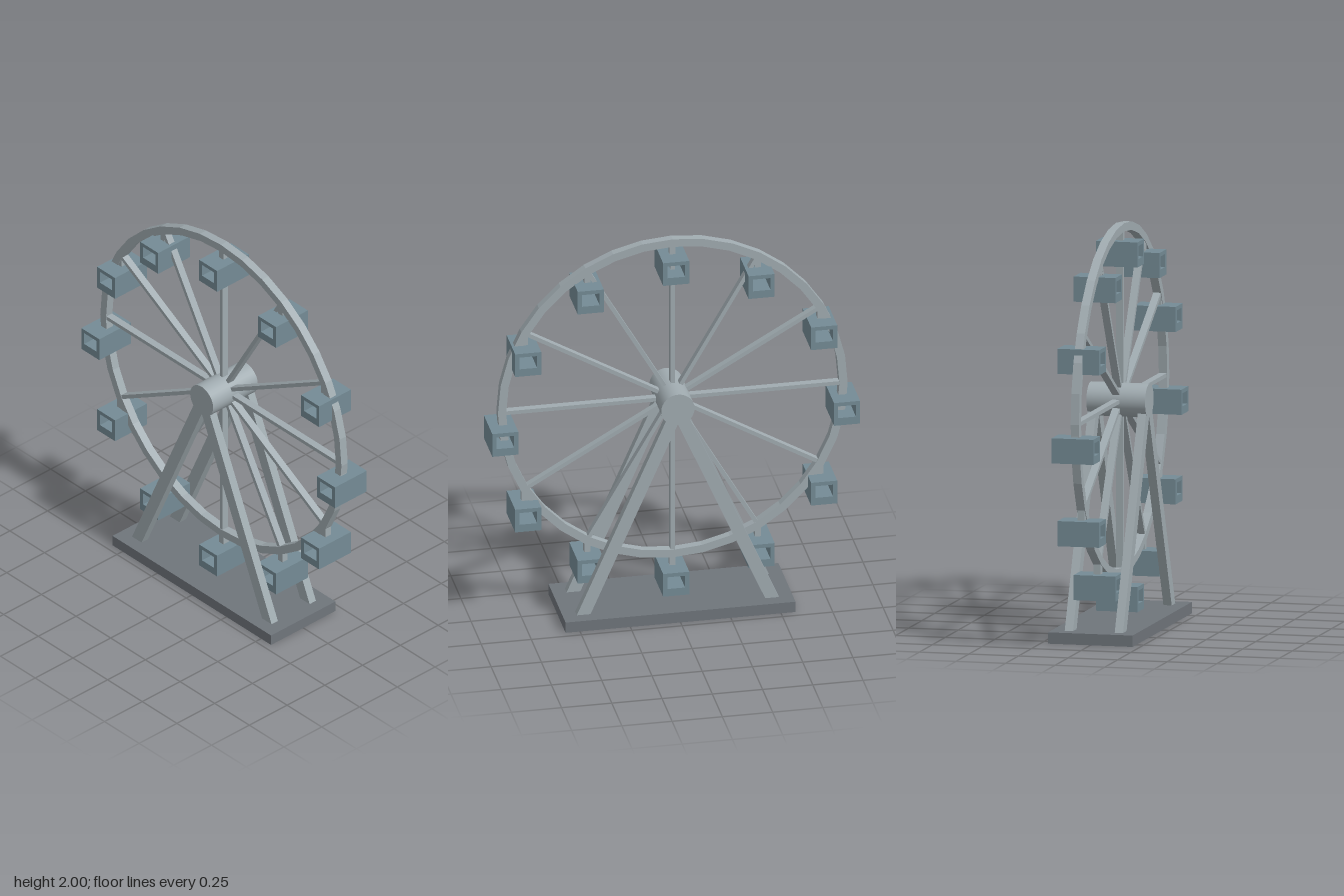
import * as THREE from 'three';

const HUB_Y = 1.13, RIM_R = 0.85, COUNT = 12;
const steel = new THREE.MeshStandardMaterial({ color: 0xa0abb0 });
const cabinBlue = new THREE.MeshStandardMaterial({ color: 0x748b95 });
const baseGrey = new THREE.MeshStandardMaterial({ color: 0x6f757b });

function addMesh(parent, name, geometry, material, x = 0, y = 0, z = 0) {
  const mesh = new THREE.Mesh(geometry, material);
  mesh.name = name;
  mesh.position.set(x, y, z);
  parent.add(mesh);
  return mesh;
}

// Polygonal outline built from a list of [x, y] corners
const outline = (type, corners) => new type(corners.map(([x, y]) => new THREE.Vector2(x, y)));
const ring = (r, n) => Array.from({ length: n }, (_, i) => {
  const a = (i / n) * Math.PI * 2;
  return [r * Math.cos(a), r * Math.sin(a)];
});
const rect = (x, y0, y1) => [[-x, y0], [x, y0], [x, y1], [-x, y1]];

// Extruded frame with one opening, centred in z
function frame(outer, inner, depth) {
  const shape = outline(THREE.Shape, outer);
  shape.holes.push(outline(THREE.Path, inner));
  return new THREE.ExtrudeGeometry(shape, { depth, bevelEnabled: false }).translate(0, 0, -depth / 2);
}

export function createModel() {
  const model = new THREE.Group();
  model.name = 'ferrisWheel';

  addMesh(model, 'base', new THREE.BoxGeometry(1.144, 0.056, 0.426), baseGrey, 0, 0.028);

  // A-frame supports in front of and behind the wheel
  const footX = 0.478, footY = 0.035;
  const legLength = Math.hypot(footX, HUB_Y - footY);
  const legGeometry = new THREE.BoxGeometry(0.063, legLength, 0.042);
  for (const z of [-0.126, 0.126]) {
    for (const side of [-1, 1]) {
      const leg = addMesh(model, 'supportLeg', legGeometry, steel, side * footX / 2, (HUB_Y + footY) / 2, z);
      leg.rotation.z = side * Math.atan2(footX, HUB_Y - footY);
    }
  }

  // Wheel: hub, rim and spokes
  const wheel = new THREE.Group();
  wheel.name = 'wheel';
  wheel.position.y = HUB_Y;
  model.add(wheel);
  addMesh(wheel, 'hub', new THREE.CylinderGeometry(0.083, 0.083, 0.296, 32).rotateX(Math.PI / 2), steel);
  addMesh(wheel, 'rim', frame(ring(0.87, 36), ring(0.829, 36), 0.042), steel);
  const spokeGeometry = new THREE.BoxGeometry(0.84, 0.02, 0.037).translate(0.42, 0, 0);

  // Cabins hang upright below their pivots on the rim
  const cabinGeometry = frame(rect(0.065, -0.187, -0.063), rect(0.044, -0.147, -0.083), 0.21);
  const hangerGeometry = new THREE.BoxGeometry(0.03, 0.07, 0.036).translate(0, -0.033, 0);
  for (let i = 0; i < COUNT; i++) {
    const angle = (i / COUNT) * Math.PI * 2;
    addMesh(wheel, 'spoke', spokeGeometry, steel).rotation.z = angle;
    const gondola = new THREE.Group();
    gondola.name = 'gondola';
    gondola.position.set(RIM_R * Math.cos(angle), RIM_R * Math.sin(angle), 0);
    wheel.add(gondola);
    addMesh(gondola, 'hanger', hangerGeometry, steel);
    addMesh(gondola, 'cabin', cabinGeometry, cabinBlue);
  }
  return model;
}
